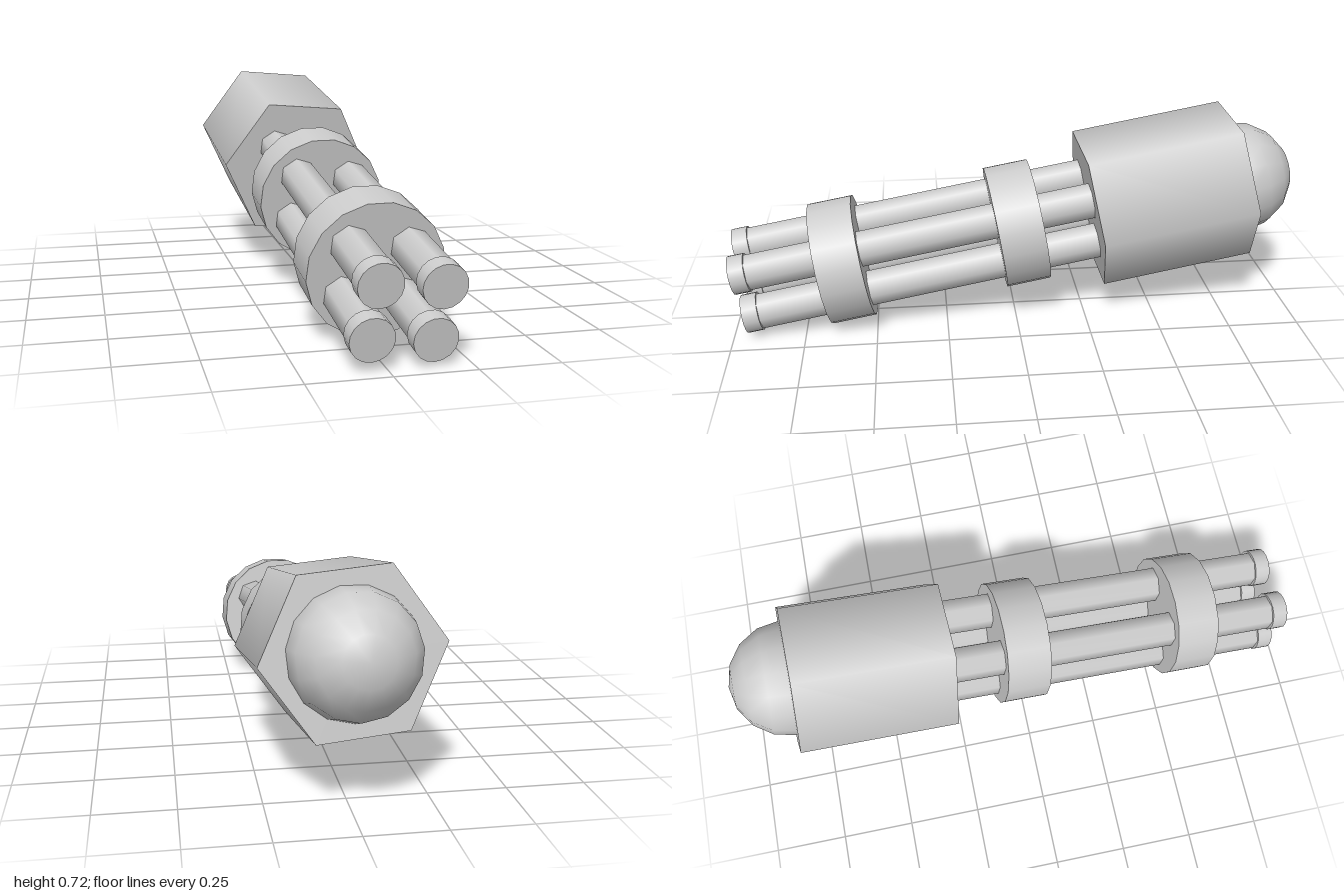
import * as THREE from 'three';

const material = new THREE.MeshStandardMaterial({ color: 0xcccccc });

// Prism lying along z between z0 and z1, first corner towards +x
function prism(name, radius, sides, z0, z1, x = 0, y = 0) {
  const g = new THREE.CylinderGeometry(radius, radius, z1 - z0, sides, 1, false, Math.PI / 2);
  g.rotateX(Math.PI / 2);
  const mesh = new THREE.Mesh(g, material);
  mesh.name = name;
  mesh.position.set(x, y, (z0 + z1) / 2);
  return mesh;
}

export function createModel() {
  const model = new THREE.Group();
  model.name = 'rotaryGun';

  // Everything is built along z, then tilted as one piece
  const gun = new THREE.Group();
  gun.name = 'gunBody';
  gun.position.set(0.017, 0.331, 0);
  gun.rotation.set(0.166, 0.034, -0.086, 'YXZ');
  model.add(gun);

  // Hexagonal housing
  gun.add(prism('housing', 0.281, 6, -0.817, -0.274));

  // Rounded rear cap
  const capGeometry = new THREE.SphereGeometry(0.2, 15, 4, 0, Math.PI * 2, 0, Math.PI / 2);
  capGeometry.rotateX(-Math.PI / 2);
  const cap = new THREE.Mesh(capGeometry, material);
  cap.name = 'rearCap';
  cap.position.z = -0.815;
  gun.add(cap);

  // Two clamping rings around the barrels
  gun.add(prism('frontRing', 0.219, 17, 0.546, 0.7));
  gun.add(prism('middleRing', 0.219, 17, -0.087, 0.069));

  // Four barrels, each with a wider muzzle
  for (const sx of [-1, 1]) {
    for (const sy of [-1, 1]) {
      const barrel = new THREE.Group();
      barrel.name = (sy > 0 ? 'upper' : 'lower') + (sx > 0 ? 'Left' : 'Right') + 'Barrel';
      barrel.position.set(sx * 0.0945, sy * 0.0815, 0);
      barrel.add(prism('tube', 0.063, 7, -0.3, 0.96));
      barrel.add(prism('muzzle', 0.068, 17, 0.935, 0.99));
      gun.add(barrel);
    }
  }
  return model;
}
